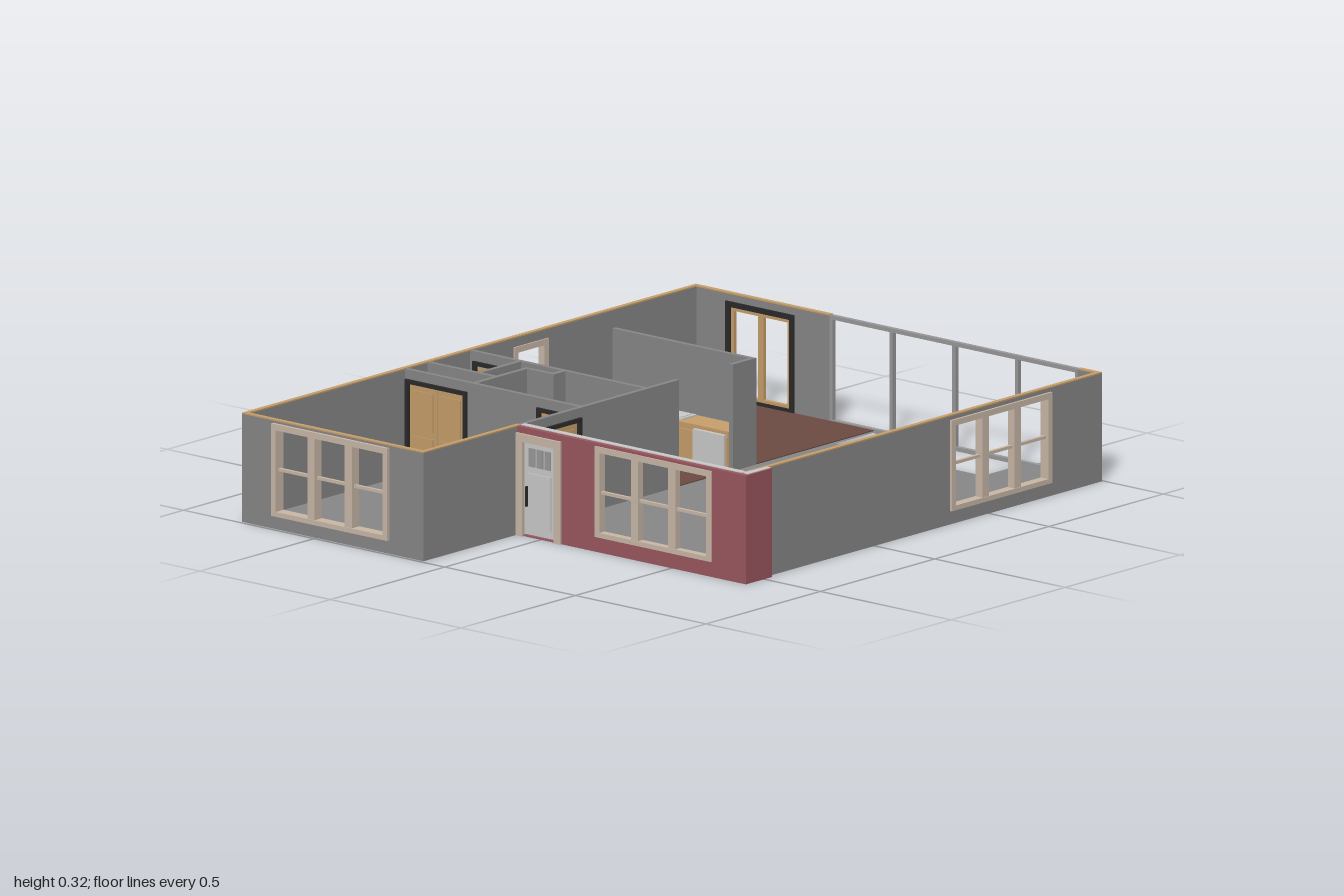
import * as THREE from 'three';

const mat = (name, color, side = THREE.FrontSide) => {
  const m = new THREE.MeshStandardMaterial({ color, side });
  m.name = name;
  return m;
};

export function createModel() {
  const M = {
    wall: mat('wall grey', 0x888888),
    red: mat('brick red', 0x9c5860),
    wood: mat('wood tan', 0xc8a06c),
    brown: mat('brown flooring', 0x6c4c43),
    trim: mat('beige trim', 0xcbb9a8),
    white: mat('appliance light grey', 0xcccccc),
    metal: mat('metal grey', 0x9a9a9a),
    dark: mat('dark frame', 0x2b2b2b),
  };
  const model = new THREE.Group();
  model.name = 'house';
  const H = 0.325, T = 0.015;

  const add = (parent, name, geo, material) => {
    const m = new THREE.Mesh(geo, material);
    m.name = name;
    parent.add(m);
    return m;
  };
  // box given by its minimum and maximum on each axis
  const box = (parent, name, material, x0, x1, y0, y1, z0, z1) =>
    add(parent, name, new THREE.BoxGeometry(x1 - x0, y1 - y0, z1 - z0), material)
      .position.set((x0 + x1) / 2, (y0 + y1) / 2, (z0 + z1) / 2);

  // group whose local x runs along world x or world z
  const run = (name, axis, at) => {
    const g = new THREE.Group();
    g.name = name;
    if (axis === 'z') { g.rotation.y = -Math.PI / 2; g.position.x = at; } else g.position.z = at;
    model.add(g);
    return g;
  };

  // wall from a0 to a1 with rectangular openings [a, b, y0, y1] and an optional cap
  const wall = (name, axis, at, a0, a1, openings = [], cap = null, material = M.wall, t = T) => {
    const g = run(name, axis, at);
    const top = cap ? H - 0.004 : H - 0.002;
    const s = new THREE.Shape();
    s.moveTo(a0, 0).lineTo(a1, 0).lineTo(a1, top).lineTo(a0, top).closePath();
    for (const [a, b, y0, y1] of openings) {
      const h = new THREE.Path();
      h.moveTo(a, y0).lineTo(a, y1).lineTo(b, y1).lineTo(b, y0).closePath();
      s.holes.push(h);
    }
    const geo = new THREE.ExtrudeGeometry(s, { depth: t, bevelEnabled: false });
    add(g, name + 'Panel', geo.translate(0, 0, -t / 2), material);
    if (cap) box(g, name + 'Cap', cap, a0, a1, top, H, -t / 2, t / 2);
    return g;
  };

  // frame of two jambs and a head, with a sill if wanted
  const frame = (g, name, material, a, b, y0, y1, w, d, sill) => {
    box(g, name, material, a, a + w, y0, y1, -d / 2, d / 2);
    box(g, name, material, b - w, b, y0, y1, -d / 2, d / 2);
    box(g, name, material, a + w, b - w, y1 - w, y1, -d / 2, d / 2);
    if (sill) box(g, name, material, a + w, b - w, y0, y0 + w * 0.8, -d / 2, d / 2);
  };

  // open window with n lights, each with a meeting rail
  const windowUnit = (g, [a, b, y0, y1], n, d) => {
    const w = 0.018, post = 0.028;
    frame(g, 'windowFrame', M.trim, a, b, y0, y1, w, d, true);
    for (let i = 1; i < n; i++) {
      const c = a + w / 2 + ((b - a - w) * i) / n;
      box(g, 'windowPost', M.trim, c - post / 2, c + post / 2, y0 + w * 0.8, y1 - w, -d / 2 + 0.002, d / 2 - 0.002);
    }
    box(g, 'meetingRail', M.trim, a + w, b - w, 0.173, 0.182, -0.005, 0.005);
  };

  // panelled wooden door in a dark frame
  const innerDoor = (g, [a, b, , y1], leaves) => {
    const w = 0.012, d = 0.03;
    frame(g, 'doorFrame', M.dark, a, b, 0.006, y1, w, d, false);
    const lw = (b - a - 2 * w) / leaves;
    for (let i = 0; i < leaves; i++) {
      const p = a + w + i * lw;
      box(g, 'doorLeaf', M.wood, p + 0.001, p + lw - 0.001, 0.007, y1 - w, -0.005, 0.005);
      for (const [u, v] of [[0.025, 0.13], [0.15, y1 - w - 0.018]])
        box(g, 'doorPanel', M.wood, p + 0.016, p + lw - 0.016, u, v, -0.008, 0.008);
    }
  };

  // floor slab with stair opening
  const slab = new THREE.Shape();
  [[-0.783, 0.997], [0.768, 0.997], [0.768, -0.57], [-0.092, -0.57], [-0.092, -0.988], [-0.783, -0.988]]
    .forEach(([x, y], i) => (i ? slab.lineTo(x, y) : slab.moveTo(x, y)));
  slab.closePath();
  const well = new THREE.Path();
  well.moveTo(-0.08, 0.98).lineTo(0.485, 0.98).lineTo(0.485, 0.8).lineTo(-0.08, 0.8).closePath();
  slab.holes.push(well);
  add(model, 'floorSlab', new THREE.ExtrudeGeometry(slab, { depth: 0.006, bevelEnabled: false }).rotateX(-Math.PI / 2), M.wall);
  box(model, 'kitchenFloor', M.brown, -0.775, -0.093, 0.006, 0.009, -0.985, 0);
  box(model, 'utilityFloor', M.brown, -0.775, -0.585, 0.006, 0.009, 0, 0.18);
  box(model, 'bathFloor', M.brown, -0.51, -0.1, 0.006, 0.009, 0.055, 0.285);
  box(model, 'bathFloor', M.brown, -0.41, -0.1, 0.006, 0.009, 0, 0.055);

  // outer walls
  const leftWin = [-0.33, -0.18, 0.04, 0.295];
  windowUnit(wall('sideWall', 'z', -0.7775, -0.995, 0.99, [leftWin], M.wood), leftWin, 1, 0.024);

  const bedWin = [-0.665, -0.22, 0.04, 0.315];
  windowUnit(wall('bedroomFrontWall', 'x', 0.9825, -0.77, -0.105, [bedWin], M.wood), bedWin, 3, 0.035);
  wall('bedroomSideWall', 'z', -0.0975, 0.565, 0.99, [], M.wood);

  const sideWin = [-0.77, -0.33, 0.04, 0.31];
  windowUnit(wall('livingSideWall', 'z', 0.7625, -0.995, 0.565, [sideWin], M.wood), sideWin, 3, 0.03);

  const liveWin = [0.21, 0.655, 0.045, 0.315], entry = [-0.085, 0.08, 0.004, 0.305];
  wall('livingFrontWall', 'x', 0.555, -0.09, 0.755, [liveWin, entry], M.white, M.wall, 0.02);
  const brick = wall('brickFront', 'x', 0.5725, -0.09, 0.785, [liveWin, entry], null, M.red);
  windowUnit(brick, liveWin, 3, 0.024);
  box(model, 'brickReturn', M.red, 0.77, 0.785, 0, H - 0.002, 0.465, 0.565);
  box(model, 'cornerCap', M.white, 0.755, 0.78, H - 0.004, H, 0.465, 0.565);

  // entry door
  frame(brick, 'entryFrame', M.trim, -0.09, 0.08, 0, 0.305, 0.024, 0.03, false);
  box(brick, 'entryDoor', M.white, -0.065, 0.055, 0.007, 0.281, -0.008, 0.004);
  box(brick, 'entryLowerPanel', M.white, -0.048, 0.038, 0.03, 0.19, 0.004, 0.008);
  for (let i = 0; i < 3; i++)
    box(brick, 'entryLight', M.metal, -0.047 + i * 0.03, -0.023 + i * 0.03, 0.21, 0.265, 0.004, 0.007);
  box(brick, 'entryHandle', M.dark, -0.056, -0.052, 0.09, 0.15, 0.004, 0.012);

  // back wall with sliding door and glazing grid
  const slide = [-0.655, -0.395, 0.005, 0.3];
  const back = wall('kitchenBackWall', 'x', -0.9875, -0.77, -0.26, [slide], M.wood);
  frame(back, 'sliderFrame', M.dark, ...slide, 0.016, 0.025, true);
  for (const [a, b] of [[-0.639, -0.524], [-0.526, -0.411]])
    frame(back, 'sliderSash', M.wood, a, b, 0.018, 0.284, 0.011, 0.012, true);
  wall('livingBackWall', 'x', -0.9875, 0.69, 0.755, [], M.wood);
  const glazing = run('glazingGrid', 'x', -0.9875);
  for (const x of [-0.255, -0.025, 0.215, 0.455, 0.685])
    box(glazing, 'glazingPost', M.metal, x - 0.006, x + 0.006, 0.012, H - 0.014, -0.007, 0.007);
  for (const y of [0, H - 0.014])
    box(glazing, 'glazingRail', M.metal, -0.26, 0.69, y, y + 0.012, -0.007, 0.007);

  // inner walls
  const hallDoor = [0.3, 0.45, 0.004, 0.295];
  innerDoor(wall('hallWall', 'z', -0.0995, -0.13, 0.565, [hallDoor]), hallDoor, 1);
  const closetDoor = [-0.765, -0.53, 0.004, 0.295], bathDoor = [-0.262, -0.112, 0.004, 0.295];
  const bedWall = wall('bedroomWall', 'x', 0.287, -0.77, -0.107, [closetDoor, bathDoor]);
  innerDoor(bedWall, closetDoor, 2);
  innerDoor(bedWall, bathDoor, 1);
  const utilityDoor = [-0.755, -0.605, 0.004, 0.295];
  innerDoor(wall('kitchenWall', 'x', 0.003, -0.77, -0.107, [utilityDoor]), utilityDoor, 1);
  wall('utilitySideWall', 'z', -0.582, 0.01, 0.18);
  wall('closetWall', 'x', 0.187, -0.77, -0.52);
  wall('bathSideWall', 'z', -0.513, 0.05, 0.28);
  wall('bathRecessWall', 'x', 0.055, -0.505, -0.405);
  wall('bathRecessEnd', 'z', -0.412, 0.01, 0.048);
  wall('islandWall', 'x', -0.46, -0.63, -0.107);
  wall('islandEndWall', 'z', -0.0995, -0.4675, -0.365);

  // base cabinet run with a worktop and door fronts on the side given by dir
  const counter = (name, x0, x1, z0, z1, dir, n) => {
    const g = new THREE.Group();
    g.name = name;
    model.add(g);
    box(g, 'cabinet', M.wood, x0 + 0.004, x1 - 0.004, 0.008, 0.112, z0 + 0.005, z1 - 0.005);
    box(g, 'worktop', M.wood, x0, x1, 0.112, 0.12, z0, z1);
    const w = (x1 - x0 - 0.008) / n, f = dir > 0 ? z1 - 0.005 : z0 - 0.001 + 0.002;
    for (let i = 0; i < n; i++)
      box(g, 'cabinetDoor', M.wood, x0 + 0.008 + i * w, x0 + w + i * w, 0.02, 0.1, f, f + 0.004);
    return g;
  };
  const sink = (g, x0, x1, z0, z1) => {
    box(g, 'sinkRim', M.white, x0, x1, 0.12, 0.124, z0, z1);
    box(g, 'sinkBasin', M.white, x0 + 0.01, x1 - 0.01, 0.124, 0.126, z0 + 0.01, z1 - 0.01);
  };
  const island = counter('islandCounter', -0.63, -0.108, -0.452, -0.365, 1, 5);
  sink(island, -0.445, -0.3, -0.445, -0.38);
  box(island, 'dishwasher', M.white, -0.24, -0.12, 0.012, 0.108, -0.37, -0.358);
  const range = counter('rangeCounter', -0.585, -0.22, -0.095, -0.005, -1, 4);
  sink(counter('bathVanity', -0.24, -0.108, 0.012, 0.105, 1, 2), -0.215, -0.14, 0.03, 0.095);

  // stove with four burners
  box(range, 'stove', M.white, -0.41, -0.3, 0.008, 0.125, -0.103, -0.008);
  box(range, 'ovenDoor', M.dark, -0.395, -0.315, 0.03, 0.085, -0.107, -0.103);
  for (const x of [-0.382, -0.328]) for (const z of [-0.078, -0.035])
    add(range, 'burner', new THREE.CylinderGeometry(0.014, 0.014, 0.004, 16), M.dark).position.set(x, 0.127, z);

  // fridge
  box(model, 'fridge', M.white, -0.218, -0.11, 0.008, 0.265, -0.125, -0.01);
  for (const [y0, y1] of [[0.015, 0.17], [0.176, 0.26]])
    box(model, 'fridgeDoor', M.white, -0.216, -0.112, y0, y1, -0.132, -0.125);
  box(model, 'fridgeHandle', M.metal, -0.206, -0.202, 0.1, 0.235, -0.138, -0.132);

  return model;
}
